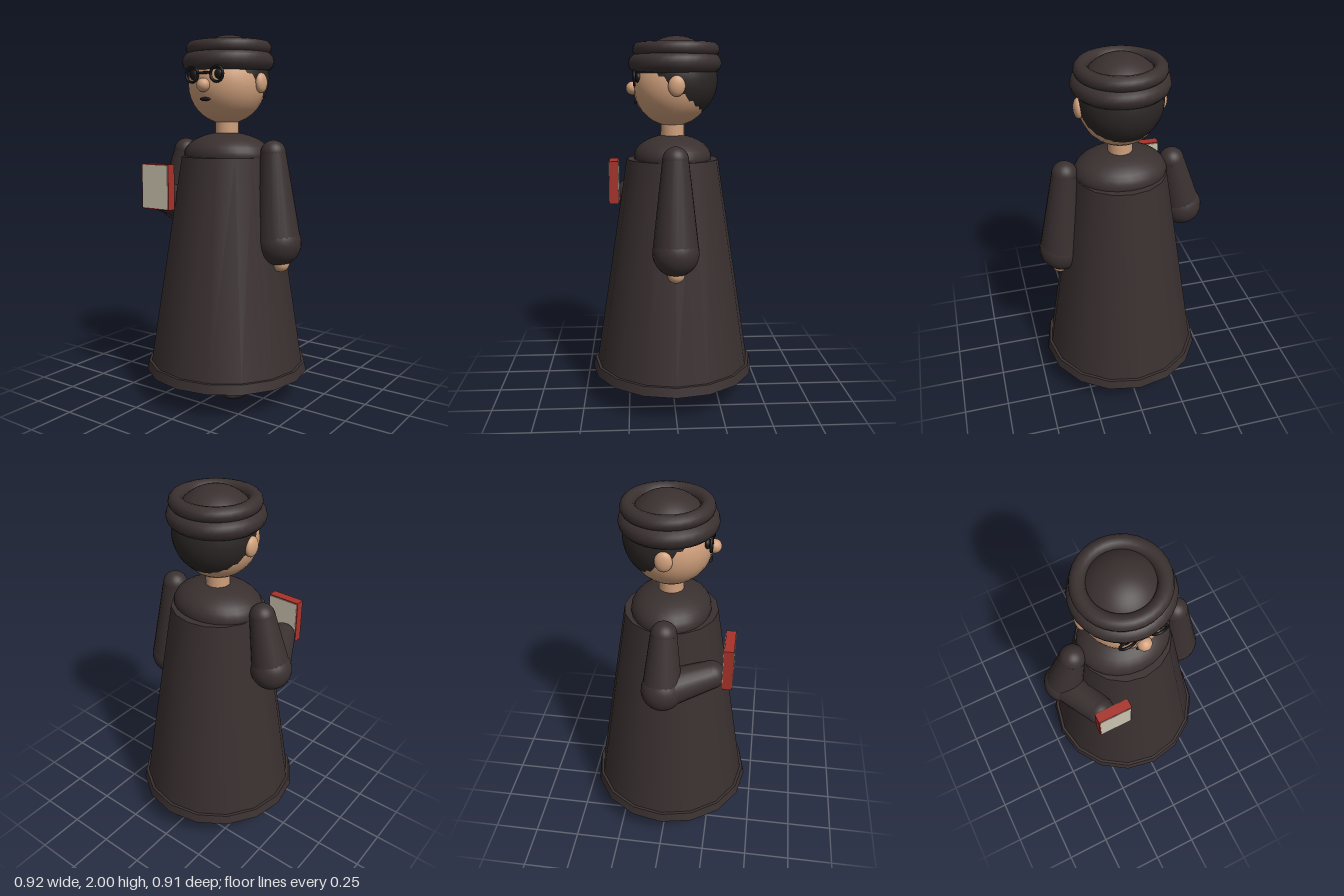
import * as THREE from 'three';

const mat = (name, color) => {
  const m = new THREE.MeshStandardMaterial({ color });
  m.name = name;
  return m;
};

export function createModel() {
  const cloth = mat('dark cloth', 0x3a3030);
  const hairMat = mat('hair', 0x2c2626);
  const skin = mat('skin', 0xd0a07c);
  const black = mat('black', 0x181616);
  const red = mat('book red', 0xa8322a);
  const cream = mat('cream', 0xcbc4b0);

  const root = new THREE.Group();
  root.name = 'robedFigure';

  const add = (name, geometry, material, x = 0, y = 0, z = 0) => {
    const m = new THREE.Mesh(geometry, material);
    m.name = name;
    m.position.set(x, y, z);
    root.add(m);
    return m;
  };
  const ball = (name, material, [x, y, z], rx, ry = rx, rz = rx) => {
    const m = add(name, new THREE.SphereGeometry(1, 24, 18), material, x, y, z);
    m.scale.set(rx, ry, rz);
    return m;
  };
  const ring = (name, material, [x, y, z], radius, tube) =>
    add(name, new THREE.TorusGeometry(radius, tube, 12, 32), material, x, y, z);
  // Tapered limb between two points
  const limb = (name, material, a, b, ra, rb) => {
    const p = new THREE.Vector3(...a), q = new THREE.Vector3(...b);
    const d = q.clone().sub(p);
    const m = add(name, new THREE.CylinderGeometry(rb, ra, d.length(), 20), material);
    m.position.copy(p).addScaledVector(d, 0.5);
    m.quaternion.setFromUnitVectors(new THREE.Vector3(0, 1, 0), d.normalize());
    return m;
  };

  // Robe, hem and shoulder cape
  add('robe', new THREE.CylinderGeometry(0.25, 0.43, 1.15, 16), cloth, 0, 0.775, 0);
  add('hem', new THREE.CylinderGeometry(0.445, 0.457, 0.05, 16), cloth, 0, 0.178, 0);
  ball('shoulders', cloth, [0, 1.36, 0], 0.25, 0.122, 0.212);

  // Legs and shoes
  for (const s of [-1, 1]) {
    const x = s * 0.118;
    add('trouserCuff', new THREE.CylinderGeometry(0.08, 0.08, 0.035, 20), cream, x, 0.143, 0);
    add('ankle', new THREE.CylinderGeometry(0.06, 0.06, 0.1, 20), cream, x, 0.1, 0);
    ball('shoe', black, [x, 0.047, 0.055], 0.066, 0.042, 0.12).material = hairMat;
  }

  // Hanging left arm
  ball('leftShoulder', cloth, [0.298, 1.375, 0], 0.068);
  limb('leftSleeve', cloth, [0.298, 1.375, 0], [0.335, 0.9, 0], 0.068, 0.122);
  ball('leftCuff', cloth, [0.337, 0.9, 0], 0.122);
  ball('leftHand', skin, [0.352, 0.79, 0], 0.046);

  // Bent right arm
  const elbow = [-0.355, 1.078, 0], wrist = [-0.258, 1.125, 0.24];
  ball('rightShoulder', cloth, [-0.285, 1.375, 0], 0.068);
  limb('rightUpperSleeve', cloth, [-0.285, 1.375, 0], elbow, 0.068, 0.105);
  ball('rightElbow', cloth, elbow, 0.11);
  limb('rightForearm', cloth, elbow, wrist, 0.1, 0.075);
  ball('rightCuff', cloth, wrist, 0.075);

  // Book with pale faces
  add('bookCover', new THREE.BoxGeometry(0.182, 0.242, 0.05), red, -0.218, 1.196, 0.328);
  for (const z of [0.3525, 0.3025])
    add('bookFace', new THREE.BoxGeometry(0.172, 0.23, 0.006), cream, -0.218, 1.196, z);

  // Head
  add('neck', new THREE.CylinderGeometry(0.065, 0.065, 0.12, 20), skin, 0, 1.49, 0);
  ball('head', skin, [0, 1.735, 0], 0.21);
  ball('hair', hairMat, [0, 1.77, -0.028], 0.215);
  ball('nose', skin, [0, 1.727, 0.214], 0.036);
  ball('mouth', black, [0, 1.655, 0.198], 0.033, 0.01, 0.01);
  for (const s of [-1, 1]) {
    ball('ear', skin, [s * 0.214, 1.74, -0.01], 0.026, 0.053, 0.044);
    ball('eye', black, [s * 0.08, 1.782, 0.183], 0.028, 0.028, 0.02);
    ring('glassesRim', black, [s * 0.08, 1.782, 0.205], 0.039, 0.007);
  }
  const bridge = add('glassesBridge', new THREE.CylinderGeometry(0.007, 0.007, 0.09, 10), black, 0, 1.79, 0.207);
  bridge.rotation.z = Math.PI / 2;

  // Cap: two rolled bands and a crown
  ring('capLowerBand', cloth, [0, 1.856, -0.012], 0.198, 0.052).rotation.x = Math.PI / 2;
  ring('capUpperBand', cloth, [0, 1.928, -0.018], 0.193, 0.039).rotation.x = Math.PI / 2;
  add('capCrown', new THREE.SphereGeometry(0.22, 28, 12, 0, Math.PI * 2, 0, 1.2), cloth, 0, 1.78, -0.02);

  return root;
}
